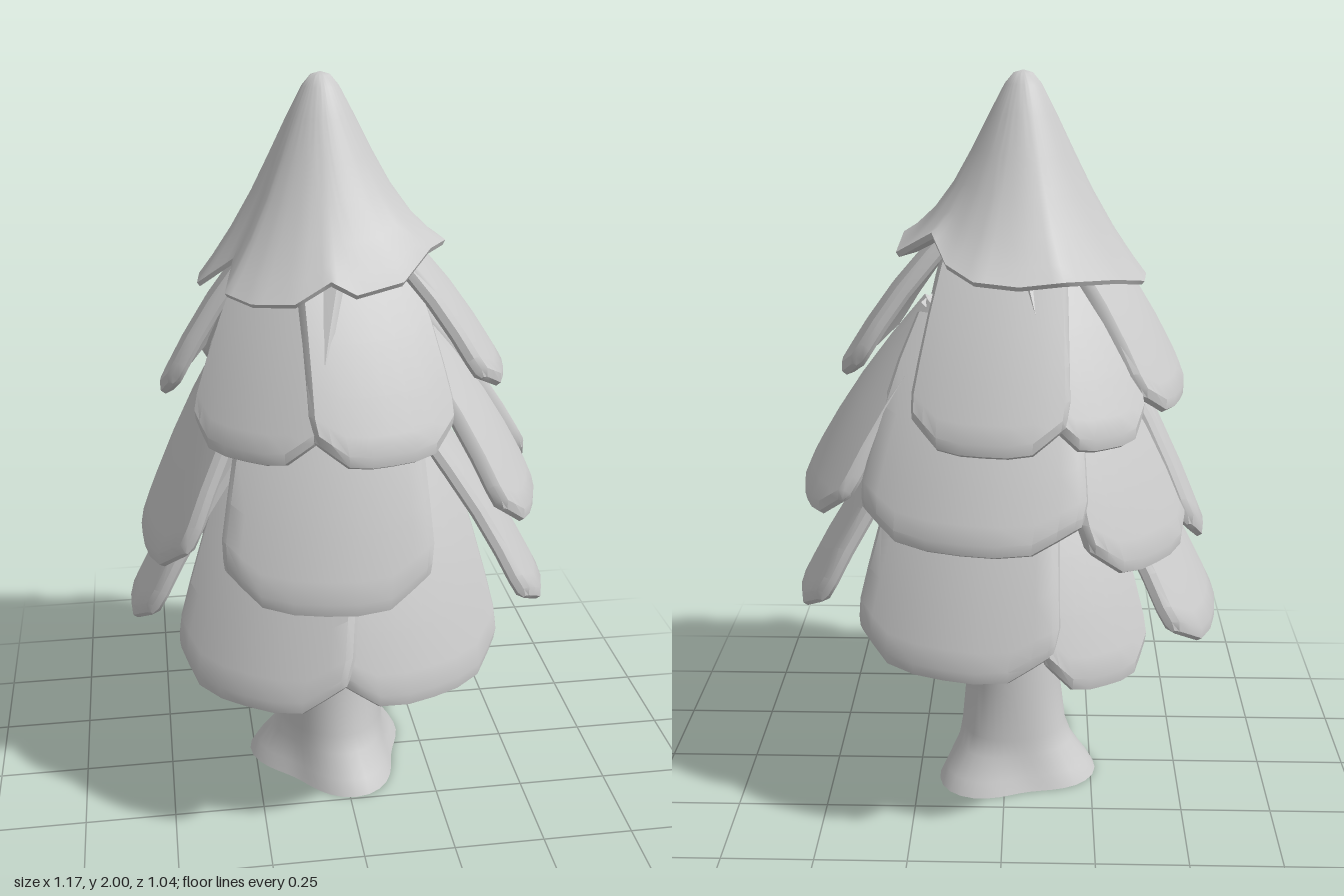
import * as THREE from 'three';
import { toCreasedNormals } from 'three/addons/utils/BufferGeometryUtils.js';

const material = new THREE.MeshStandardMaterial({ color: 0xcccccc, side: THREE.DoubleSide });
const lerp = THREE.MathUtils.lerp;

// Skin a stack of closed loops (top to bottom, counter-clockwise from above)
function loft(rings, crease, capEnd = true) {
  const n = rings[0].length, last = (rings.length - 1) * n, index = [];
  for (let j = 0; j < rings.length - 1; j++) {
    for (let i = 0; i < n; i++) {
      const k = (i + 1) % n;
      const a = j * n + i, b = j * n + k, c = b + n, d = a + n;
      index.push(a, d, c, a, c, b);
    }
  }
  for (let i = 0; i < n / 2 - 1; i++) {
    const p = i, q = i + 1, r = n - 2 - i, s = n - 1 - i;
    index.push(p, q, r, p, r, s);
    if (capEnd) index.push(last + p, last + r, last + q, last + p, last + s, last + r);
  }
  const geometry = new THREE.BufferGeometry();
  geometry.setAttribute('position', new THREE.Float32BufferAttribute(rings.flat(2), 3));
  geometry.setIndex(index);
  return toCreasedNormals(geometry, crease);
}

function mesh(name, geometry) {
  const m = new THREE.Mesh(geometry, material);
  m.name = name;
  return m;
}

// One thick, gently curved foliage slab with clipped lower corners
function leafGeometry({ topY, topR, botY, botR, botW, thick }) {
  const us = [-1, -0.95, -0.8, -0.6, -0.3, 0, 0.3, 0.6, 0.8, 0.95, 1];
  const vs = [0, 0.25, 0.5, 0.72, 0.88, 0.96, 1];
  const len = Math.hypot(botR - topR, topY - botY);
  const nr = (topY - botY) / len, ny = (botR - topR) / len;
  const rings = vs.map((v, j) => {
    const point = (u, side) => {
      const clip = Math.max(0, (Math.abs(u) - 0.55) / 0.45);
      const t = v * (1 - 0.12 * clip);
      const w = botW * lerp(0.66, 1, Math.pow(t, 0.8)) * (v > 0.9 ? 1 - (v - 0.9) * 0.6 : 1);
      const s = u * w;
      const edge = Math.abs(u) === 1 ? 0.45 : 1;
      const hem = j === vs.length - 1 ? 0.35 : 1;
      const off = side * thick * 0.5 * edge * hem;
      const bulge = 0.02 * Math.sin(Math.PI * t);
      const r = lerp(topR, botR, t) - 0.8 * s * s + nr * (off + bulge);
      return [s, lerp(topY, botY, t) + ny * (off + bulge), r];
    };
    return [...us.map(u => point(u, 1)), ...us.slice().reverse().map(u => point(u, -1))];
  });
  return loft(rings, 0.6);
}

// Ring of leaves; each entry is [azimuth in degrees, half width, bottom y, bottom radius]
function leafTier(name, centerX, topY, topR, leaves) {
  const tier = new THREE.Group();
  tier.name = name;
  tier.position.x = centerX;
  for (const [azimuth, botW, botY, botR] of leaves) {
    const leaf = mesh('leaf', leafGeometry({ topY, topR, botY, botR, botW, thick: 0.042 }));
    leaf.rotation.y = THREE.MathUtils.degToRad(azimuth);
    tier.add(leaf);
  }
  return tier;
}

// Pointed crown: a hollow shell with a ragged hem
function crownGeometry() {
  const hem = [
    [0, 1.52, 0.31], [0.12, 1.54, 0.28], [0.2, 1.6, 0.2], [0.27, 1.58, 0.05], [0.275, 1.56, -0.12],
    [0.18, 1.62, -0.17], [0.14, 1.56, -0.26], [0.07, 1.53, -0.32], [-0.04, 1.52, -0.33],
    [-0.15, 1.53, -0.32], [-0.28, 1.51, -0.2], [-0.36, 1.48, -0.08], [-0.37, 1.48, 0.01],
    [-0.28, 1.56, 0.08], [-0.31, 1.5, 0.18], [-0.25, 1.49, 0.25], [-0.15, 1.5, 0.3], [-0.06, 1.55, 0.29],
  ].map(p => new THREE.Vector3(...p));
  const rim = hem.flatMap((p, i) =>
    [0, 0.25, 0.5, 0.75].map(t => p.clone().lerp(hem[(i + 1) % hem.length], t)));
  const apex = new THREE.Vector3(-0.045, 2, -0.015);
  // [radius fraction, drop fraction, lift]
  const profile = [
    [0.01, 0, 0], [0.08, 0.015, 0], [0.15, 0.07, 0], [0.27, 0.22, 0], [0.42, 0.42, 0], [0.57, 0.61, 0],
    [0.74, 0.79, 0], [0.89, 0.92, 0], [1, 1, 0], [0.98, 1, -0.012], [0.86, 0.94, -0.022],
    [0.7, 0.82, -0.025], [0.4, 0.5, -0.03], [0.01, 0.1, -0.03],
  ];
  const rings = profile.map(([f, d, lift]) => rim.map(p => {
    const dx = p.x - apex.x, dz = p.z - apex.z;
    // Near the tip the section is round; it takes on the hem outline lower down
    const k = lerp(0.31 / Math.hypot(dx, dz), 1, f * f) * f;
    const y = apex.y + lerp(-0.47, p.y - apex.y, f * f) * d + lift;
    return [apex.x + dx * k, y, apex.z + dz * k];
  }));
  return loft(rings, 0.8);
}

// Trunk that flares into three roots at the ground, open underneath
function trunkGeometry() {
  const levels = [
    [1.65, 0.04, 0], [1.2, 0.075, 0], [0.8, 0.1, 0], [0.5, 0.12, 0], [0.3, 0.134, 0.002],
    [0.15, 0.15, 0.006], [0.1, 0.162, 0.014], [0.04, 0.195, 0.03], [0, 0.215, 0.034],
  ];
  const sides = 40, firstRoot = 0.26;
  return loft(levels.map(([y, r, lobe]) => Array.from({ length: sides }, (_, i) => {
    const a = i / sides * Math.PI * 2;
    const rr = r + lobe * Math.cos(3 * (a - firstRoot));
    return [-0.02 + rr * Math.sin(a), y, rr * Math.cos(a)];
  })), 0.9, false);
}

// Short bare branch hidden under the foliage
function branch(azimuth, y, reach) {
  const curve = new THREE.QuadraticBezierCurve3(
    new THREE.Vector3(0, y, 0.06), new THREE.Vector3(0, y + 0.04, reach * 0.6), new THREE.Vector3(0, y + 0.14, reach));
  const m = mesh('branch', new THREE.TubeGeometry(curve, 8, 0.022, 8));
  m.rotation.y = THREE.MathUtils.degToRad(azimuth);
  m.position.x = -0.02;
  return m;
}

export function createModel() {
  const tree = new THREE.Group();
  tree.name = 'tree';
  tree.add(mesh('trunk', trunkGeometry()));
  for (const b of [[100, 0.6, 0.3], [140, 0.8, 0.25], [285, 0.85, 0.25]]) tree.add(branch(...b));

  tree.add(leafTier('lowerFoliage', -0.005, 1.12, 0.22, [
    [-34, 0.27, 0.47, 0.53], [22, 0.27, 0.47, 0.5], [88, 0.285, 0.57, 0.575],
    [163, 0.29, 0.54, 0.51], [210, 0.165, 0.51, 0.52], [260, 0.275, 0.53, 0.58],
  ]));
  tree.add(leafTier('middleFoliage', -0.015, 1.4, 0.2, [
    [-10, 0.285, 0.75, 0.5], [70, 0.195, 0.87, 0.545], [108, 0.19, 0.9, 0.56],
    [167, 0.31, 0.89, 0.51], [229, 0.215, 0.8, 0.5], [277, 0.25, 0.76, 0.525],
  ]));
  tree.add(leafTier('upperFoliage', -0.03, 1.64, 0.13, [
    [-36, 0.195, 1.12, 0.43], [14, 0.205, 1.12, 0.44], [83, 0.235, 1.22, 0.46],
    [171, 0.21, 1.13, 0.46], [211, 0.145, 1.13, 0.45], [254, 0.2, 1.17, 0.44],
  ]));
  tree.add(mesh('crown', crownGeometry()));
  return tree;
}
